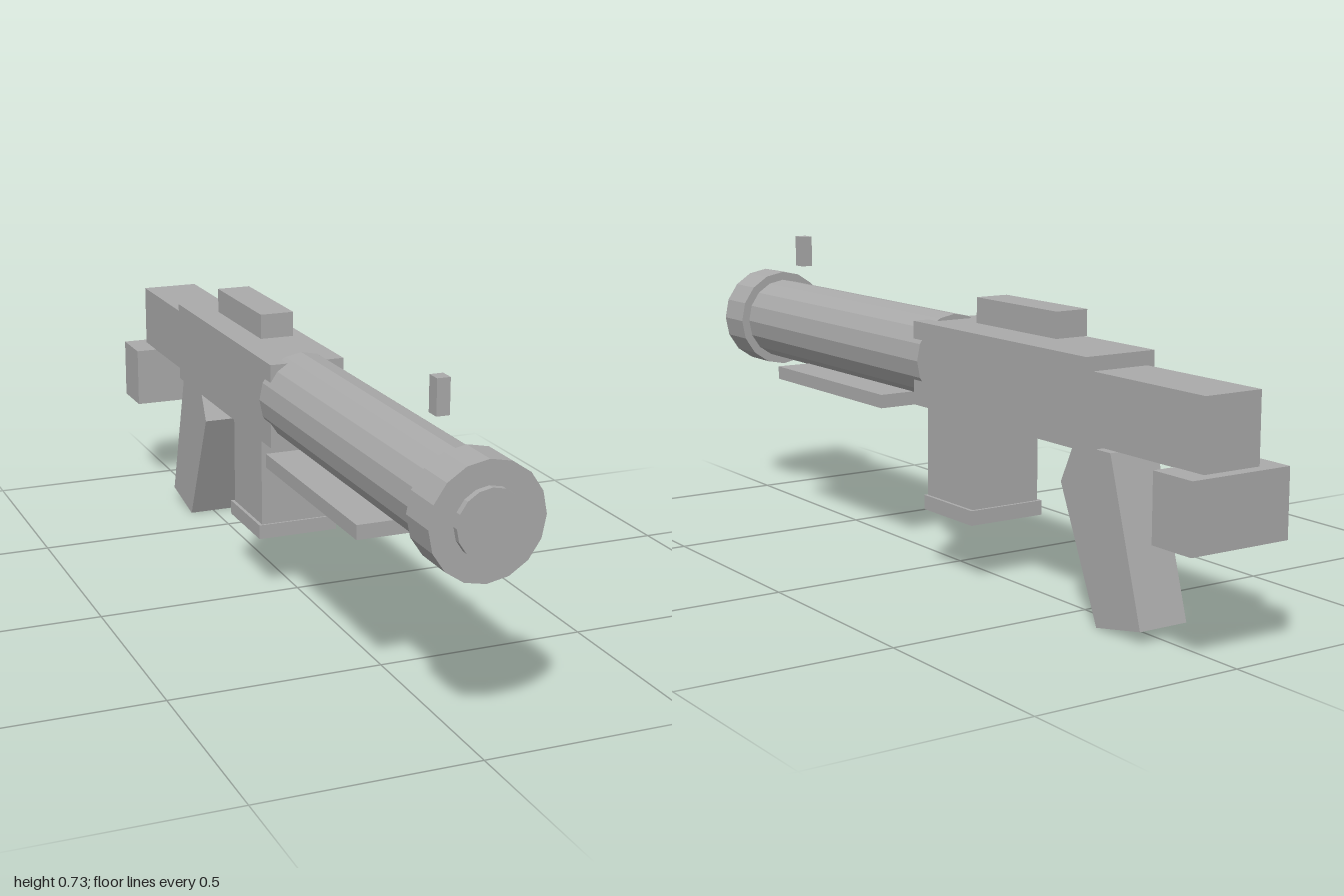
import * as THREE from 'three';

export function createModel() {
  const model = new THREE.Group();
  const grey = new THREE.MeshStandardMaterial({ color: 0xaaaaaa, flatShading: true });
  grey.name = 'grey';

  const add = (name, geometry) => {
    const mesh = new THREE.Mesh(geometry, grey);
    mesh.name = name;
    model.add(mesh);
    return mesh;
  };

  // Box centred on x, given its half width and its y and z ranges
  const box = (name, halfX, y0, y1, z0, z1) =>
    add(name, new THREE.BoxGeometry(halfX * 2, y1 - y0, z1 - z0))
      .position.set(0, (y0 + y1) / 2, (z0 + z1) / 2);

  // Sixteen-sided cylinder along z on the bore axis
  const tube = (name, radius, z0, z1) => {
    const g = new THREE.CylinderGeometry(radius, radius, z1 - z0, 16);
    g.rotateX(Math.PI / 2);
    add(name, g).position.set(0, 0.5, (z0 + z1) / 2);
  };

  // Barrel and muzzle
  tube('barrel', 0.106, 0.025, 0.89);
  tube('muzzleRing', 0.1275, 0.885, 0.985);
  tube('muzzlePlug', 0.0745, 0.98, 1.0);

  // Body, stock and attachments
  box('receiver', 0.092, 0.39, 0.592, -0.613, 0.062);
  box('stock', 0.073, 0.402, 0.56, -0.97, -0.61);
  box('shoulderRest', 0.1275, 0.25, 0.403, -1.0, -0.88);
  box('handguard', 0.135, 0.372, 0.405, 0.142, 0.665);
  box('magazine', 0.092, 0.17, 0.392, -0.19, 0.0);
  box('magazineBase', 0.1, 0.144, 0.179, -0.197, 0.005);
  box('rearSight', 0.042, 0.605, 0.665, -0.44, -0.132);
  box('frontSight', 0.015, 0.656, 0.735, 0.745, 0.78);

  // Raked grip: side profile in (-z, y), extruded across x
  const profile = [[0.535, 0.392], [0.49, 0.3], [0.622, 0.002], [0.77, 0.03], [0.662, 0.392]];
  const shape = new THREE.Shape(profile.map(([z, y]) => new THREE.Vector2(z, y)));
  const grip = new THREE.ExtrudeGeometry(shape, { depth: 0.126, bevelEnabled: false });
  grip.translate(0, 0, -0.063);
  grip.rotateY(Math.PI / 2);
  add('grip', grip);

  return model;
}
